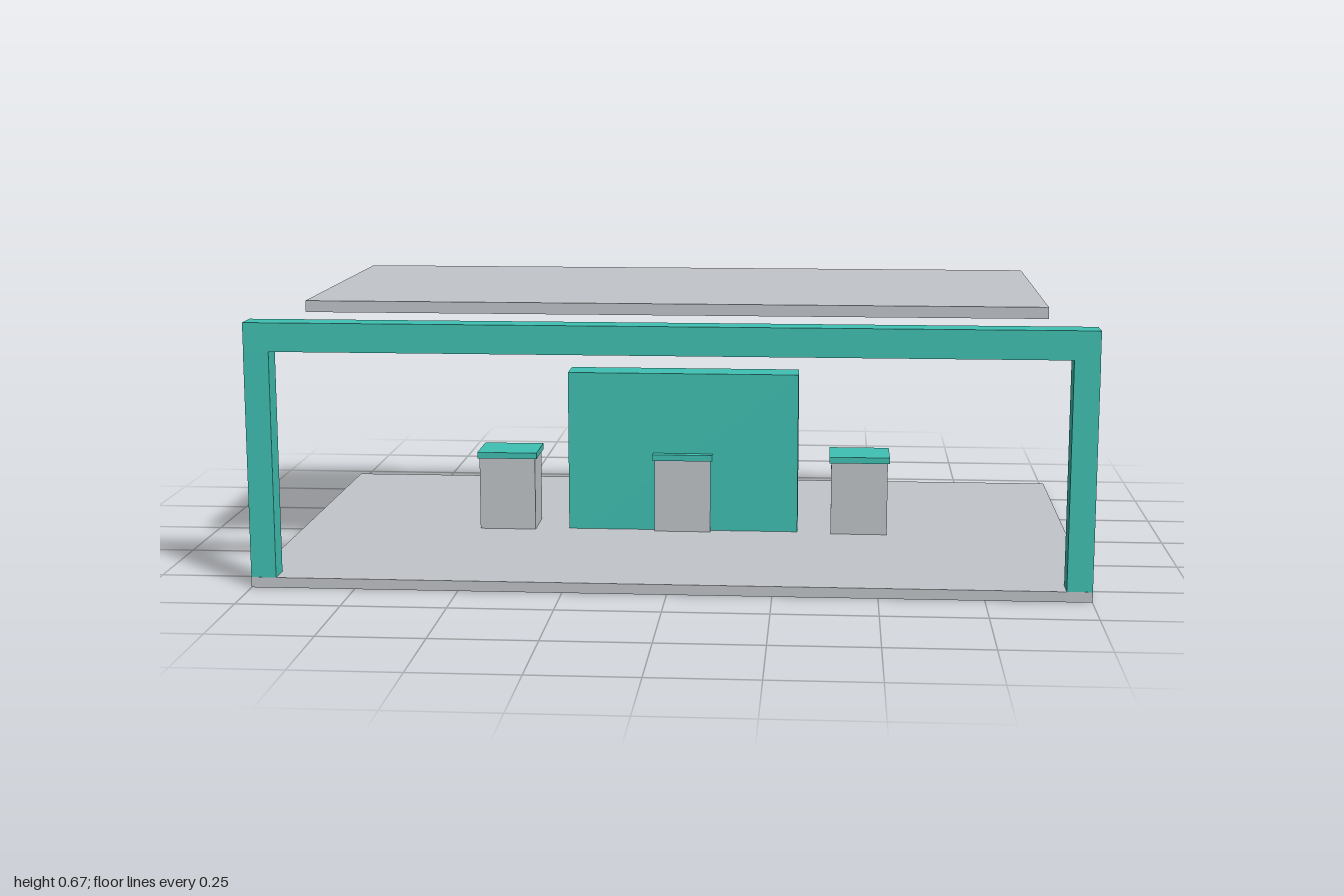
import * as THREE from 'three';

export function createModel() {
  const model = new THREE.Group();
  model.name = 'fuelStation';
  const grey = new THREE.MeshStandardMaterial({ color: 0xc2c5ca });
  grey.name = 'light grey';
  const teal = new THREE.MeshStandardMaterial({ color: 0x40c1b3 });
  teal.name = 'teal';

  // Box given by its lower and upper limits on each axis
  function box(name, material, [x0, x1], [y0, y1], [z0, z1]) {
    const mesh = new THREE.Mesh(new THREE.BoxGeometry(x1 - x0, y1 - y0, z1 - z0), material);
    mesh.position.set((x0 + x1) / 2, (y0 + y1) / 2, (z0 + z1) / 2);
    mesh.name = name;
    model.add(mesh);
  }

  // Ground slab and floating canopy
  box('groundSlab', grey, [-1, 1], [0, 0.025], [-0.6, 0.6]);
  box('canopy', grey, [-0.9, 0.9], [0.64, 0.668], [-0.39, 0.39]);

  // Front portal: two posts and a beam; the posts show on the slab's sides
  box('leftPost', teal, [0.94, 1.0005], [0.001, 0.575], [0.54, 0.5995]);
  box('rightPost', teal, [-1.0005, -0.94], [0.001, 0.575], [0.54, 0.5995]);
  box('portalBeam', teal, [-1, 1], [0.573, 0.642], [0.533, 0.6]);

  // Central wall
  box('centralWall', teal, [-0.3, 0.3], [0.002, 0.441], [-0.045, 0.045]);

  // Row of capped pedestals, the middle one passing through the wall
  for (const x of [-0.46, 0, 0.46]) {
    box('pedestal', grey, [x - 0.073, x + 0.073], [0.02, 0.215], [-0.062, 0.062]);
    box('pedestalCap', teal, [x - 0.078, x + 0.078], [0.214, 0.23], [-0.067, 0.067]);
  }

  return model;
}
